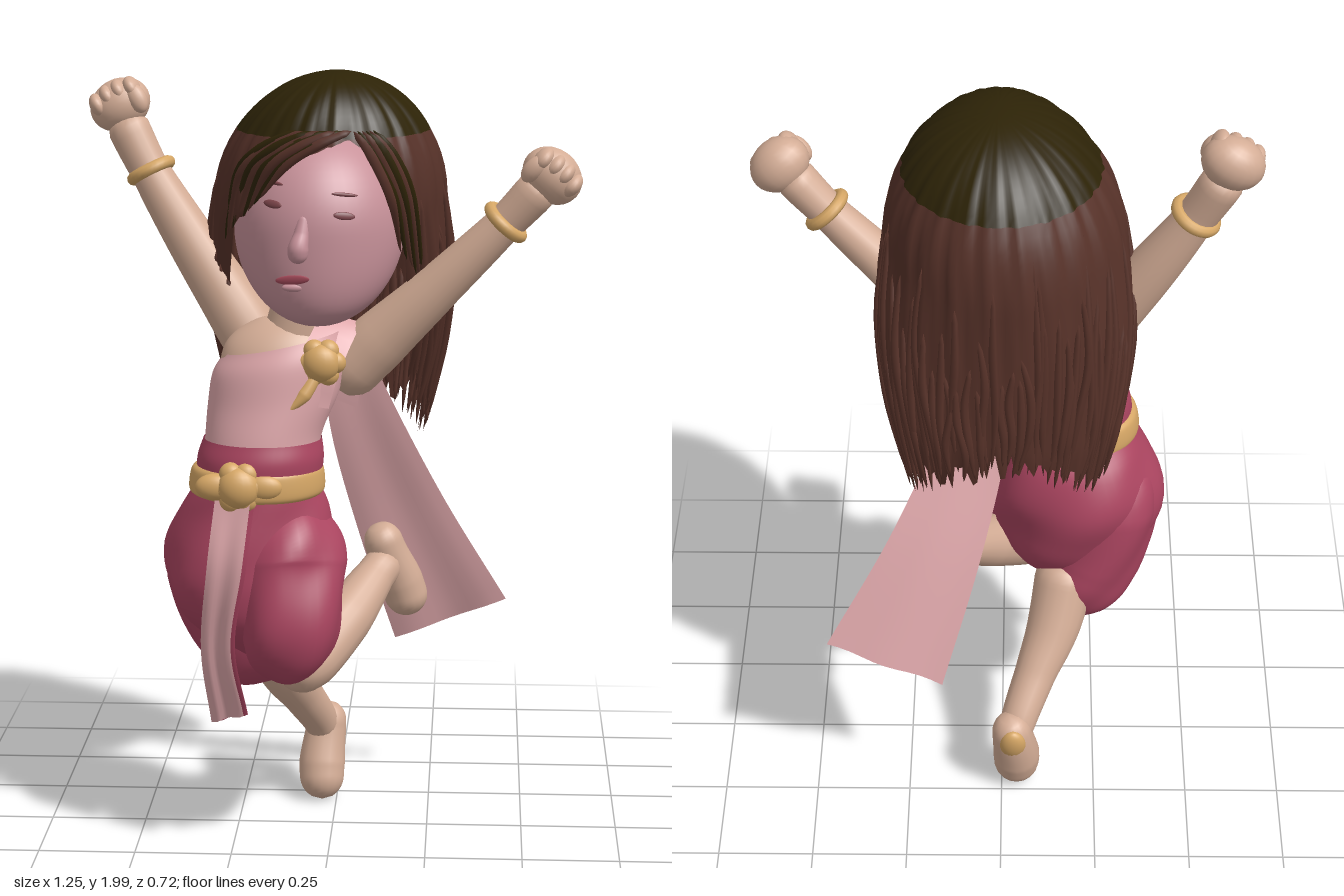
import * as THREE from 'three';
import { mergeVertices } from 'three/addons/utils/BufferGeometryUtils.js';

const V = (p) => new THREE.Vector3(...p);
const { lerp, degToRad, radToDeg } = THREE.MathUtils;
const spline = (pts) => new THREE.CatmullRomCurve3(pts.map(V), false, 'catmullrom', 0.5);
let seed = 7;
const rand = () => (seed = (seed * 16807) % 2147483647) / 2147483647;

const mat = (name, color, side = THREE.FrontSide) => {
  const m = new THREE.MeshStandardMaterial({ color, side });
  m.name = name;
  return m;
};

function weld(g) {
  g.deleteAttribute('uv');
  g.deleteAttribute('normal');
  g = mergeVertices(g, 1e-5);
  g.computeVertexNormals();
  return g;
}

// Grid surface: f(u, v) gives a point, v runs downward
function grid(nu, nv, f) {
  const g = new THREE.PlaneGeometry(1, 1, nu, nv);
  for (let j = 0, k = 0; j <= nv; j++)
    for (let i = 0; i <= nu; i++, k++) g.attributes.position.setXYZ(k, ...f(i / nu, j / nv));
  return weld(g);
}

// Horizontal oval rings [y, cx, cz, rx, rz] from top to bottom
function loft(rings, tilt = 0, folds = 0) {
  const c = spline(rings.map((r) => [r[1], r[0], r[2]]));
  const s = spline(rings.map((r) => [r[3], r[4], 0]));
  return grid(48, 28, (u, v) => {
    const p = c.getPoint(v), q = s.getPoint(v), a = (u % 1) * Math.PI * 2;
    const k = 1 + folds * Math.sin(a * 5 + v * 9) * Math.sin(v * Math.PI);
    const x = q.x * Math.sin(a) * k;
    return [p.x + x, p.y + tilt * x * (1 - v), p.z + q.y * Math.cos(a) * k];
  });
}

// Round-ended limb through points [x, y, z, radius]
function limb(pts, sides = 18, steps = 36, folds = 0) {
  const c = spline(pts.map((p) => p.slice(0, 3)));
  const g = new THREE.TubeGeometry(c, steps, 1, sides);
  const pos = g.attributes.position, nor = g.attributes.normal, len = c.getLength();
  for (let i = 0, k = 0; i <= steps; i++) {
    const u = i / steps, P = c.getPointAt(u), t = c.getUtoTmapping(u) * (pts.length - 1);
    const a = Math.min(Math.floor(t), pts.length - 2);
    let r = lerp(pts[a][3], pts[a + 1][3], t - a);
    const d = (Math.min(u, 1 - u) * len) / r;
    if (d < 1) r *= Math.sqrt(Math.max(0, 1 - (1 - d) ** 2));
    for (let j = 0; j <= sides; j++, k++) {
      const q = r * (1 + folds * Math.sin(((j % sides) / sides) * Math.PI * 10 + u * 8));
      pos.setXYZ(k, P.x + q * nor.getX(k), P.y + q * nor.getY(k), P.z + q * nor.getZ(k));
    }
  }
  return weld(g);
}

// Cloth strip between two edge curves
function ribbon(left, right, wave = 0) {
  const a = spline(left), b = spline(right);
  return grid(10, 24, (u, v) => {
    const p = a.getPoint(v).lerp(b.getPoint(v), u);
    return [p.x, p.y, p.z + wave * Math.sin(u * 9) * v];
  });
}

// Hair hem height by angle in degrees, 0 at the front, positive to the left side
const HEM = [[-180, 1.2], [-120, 1.08], [-75, 1.15], [-60, 1.22], [-50, 1.6], [-35, 1.74], [-10, 1.81],
  [12, 1.85], [28, 1.8], [38, 1.62], [46, 1.26], [60, 1.16], [110, 1.06], [180, 1.2]];
function hem(deg) {
  const i = Math.max(1, HEM.findIndex((h) => deg <= h[0]));
  const [a, b] = [HEM[i - 1], HEM[i]];
  return lerp(a[1], b[1], (deg - a[0]) / (b[0] - a[0]));
}
function hairPoint(a, y, out = 0) {
  let rx = 0.295, rz = 0.305, cx = -0.01, cz = -0.035;
  if (y > 1.66) {
    const h = Math.min(1, (y - 1.66) / 0.335);
    rx *= Math.sqrt(1 - h * h);
    rz *= (1 - h ** 2.5) ** 0.4;
    cx += 0.02 * h;
    cz += 0.035 * h;
  } else {
    const t = Math.min(1, (1.66 - y) / 0.46), low = Math.max(0, 1.2 - y) / 0.2;
    rx = (rx + 0.025 * Math.sin(t * Math.PI) - 0.02 * t) * (1 - 0.12 * low);
    rz = lerp(0.305, 0.175, t) * (1 - 0.25 * low);
    cz = lerp(-0.035, -0.17, t) - 0.01 * low;
  }
  const k = 1 + out + 0.01 * Math.sin(a * 23 + 2 * Math.sin(y * 5)) + 0.008 * Math.sin(a * 41 + y * 6);
  return [cx + rx * k * Math.sin(a), y, cz + rz * k * Math.cos(a)];
}

export function createModel() {
  const model = new THREE.Group();
  const skin = mat('skin', 0xd4ad96), faceSkin = mat('face skin', 0xc8929a);
  const pink = mat('light pink cloth', 0xdfa8ab, THREE.DoubleSide);
  const rose = mat('rose cloth', 0xab4560, THREE.DoubleSide);
  const gold = mat('gold', 0xd6a766), brown = mat('brown hair', 0x573229, THREE.DoubleSide);
  const dark = mat('dark crown hair', 0x2d2307, THREE.DoubleSide);
  const lip = mat('lip red', 0xa84c5c), eyeMat = mat('eye brown', 0x7c454a);

  const add = (name, geo, m, parent = model) => {
    const mesh = new THREE.Mesh(geo, m);
    mesh.name = name;
    parent.add(mesh);
    return mesh;
  };
  const ball = (name, p, s, m, parent) => {
    const b = add(name, new THREE.SphereGeometry(1, 20, 14), m, parent);
    b.position.set(...p);
    b.scale.set(...s);
    return b;
  };

  // Head with a forward chin
  const faceZ = (x, y) => {
    const u = (x + 0.03) / 0.215, v = (y - 1.615) / 0.24;
    return 0.06 + 0.225 * Math.sqrt(Math.max(0, 1 - u * u - v * v)) + (v < 0 ? 0.1 * v * v : 0);
  };
  add('head', grid(48, 32, (u, v) => {
    const a = (u % 1) * Math.PI * 2, h = Math.cos(v * Math.PI), r = Math.sin(v * Math.PI);
    return [-0.03 + 0.215 * r * Math.sin(a), 1.615 + 0.24 * h,
      0.06 + 0.225 * r * Math.cos(a) + (h < 0 ? 0.1 * h * h : 0)];
  }), faceSkin);
  add('nose', limb([[-0.055, 1.67, 0.26, 0.016], [-0.062, 1.62, 0.275, 0.02], [-0.07, 1.585, 0.285, 0.026], [-0.07, 1.55, 0.275, 0.024]]), faceSkin);
  // Painted features laid on the face surface
  const plate = (name, x, y, w, h, m, roll) => {
    const p = ball(name, [x, y, faceZ(x, y)], [w, h, 0.0045], m);
    const e = 0.01;
    p.rotation.set(Math.atan((faceZ(x, y + e) - faceZ(x, y - e)) / (2 * e)),
      -Math.atan((faceZ(x + e, y) - faceZ(x - e, y)) / (2 * e)), roll, 'YXZ');
  };
  for (const [side, x, y] of [['right', -0.135, 1.69], ['left', 0.042, 1.665]]) {
    plate(side + 'Eye', x, y, 0.028, 0.01, eyeMat, -0.12);
    plate(side + 'Brow', x, y + 0.05, 0.034, 0.005, eyeMat, -0.12);
  }
  plate('mouth', -0.085, 1.507, 0.045, 0.012, lip, 0.1);
  ball('lowerLip', [-0.08, 1.487, faceZ(-0.08, 1.487) - 0.005], [0.032, 0.011, 0.011], faceSkin);

  // Hair: dark crown and long brown lengths with a ragged hem
  const top = 1.85, full = Math.PI * 2;
  add('hairCrown', grid(144, 14, (u, v) => {
    return hairPoint((u % 1) * full - Math.PI, 1.66 + 0.335 * Math.cos(v * Math.acos(0.19 / 0.335)));
  }), dark);
  const ragged = Array.from({ length: 144 }, () => (rand() - 0.5) * 0.1);
  add('hairLengths', grid(144, 24, (u, v) => {
    const a = (u % 1) * full - Math.PI, h = hem(radToDeg(a));
    const end = Math.min(top, h + ragged[Math.round(u * 144) % 144] * Math.min(1, (top - h) * 3));
    return hairPoint(a, lerp(top, end, v));
  }), brown);
  for (let i = 0; i < 70; i++) {
    const deg = 48 + (i / 69) * 256, d = deg > 180 ? deg - 360 : deg;
    const a = degToRad(d), start = 1.8 - rand() * 0.4, end = hem(d) - rand() * 0.05;
    const pts = [0, 0.33, 0.66, 1].map((t, k) =>
      [...hairPoint(a + (rand() - 0.5) * 0.09, lerp(start, end, t)), [0.006, 0.012, 0.011, 0.003][k]]);
    add('hairLock', limb(pts, 6, 14), brown);
  }
  // Fringe swept over the forehead to both sides of the parting
  const sweep = (path, m) => add('fringeLock', limb(path.map(([d, y], k) =>
    [...hairPoint(degToRad(d), y, 0.01), [0.008, 0.014, 0.013, 0.003][k]]), 6, 18), m);
  for (let i = 0; i < 8; i++) {
    const s = i / 7;
    sweep([[14 - s * 34, 1.87], [-4 - s * 36, 1.84 - s * 0.02], [-20 - s * 32, 1.79 - s * 0.04], [-33 - s * 24, 1.7 - s * 0.12]], i % 2 ? dark : brown);
    if (i < 6) sweep([[15 + s * 18, 1.87], [24 + s * 18, 1.81], [33 + s * 18, 1.7], [38 + s * 18, 1.56 - s * 0.15]], i % 2 ? dark : brown);
  }

  // Neck, shoulders and one-shouldered top
  add('neck', limb([[-0.12, 1.22, 0.08, 0.09], [-0.08, 1.36, 0.08, 0.085], [-0.05, 1.5, 0.08, 0.08]]), skin);
  add('shoulders', loft([[1.385, -0.1, 0.08, 0.002, 0.002], [1.375, -0.11, 0.08, 0.08, 0.06],
    [1.32, -0.12, 0.085, 0.145, 0.105], [1.22, -0.135, 0.1, 0.155, 0.125]]), skin);
  add('top', loft([[1.325, -0.12, 0.09, 0.15, 0.13], [1.27, -0.13, 0.097, 0.17, 0.147], [1.18, -0.145, 0.11, 0.167, 0.147],
    [1.08, -0.17, 0.135, 0.148, 0.14], [0.96, -0.18, 0.145, 0.15, 0.14]], 0.22), pink);
  add('shoulderStrap', ribbon(
    [[-0.13, 1.2, 0.25], [-0.06, 1.33, 0.21], [-0.02, 1.395, 0.08], [-0.02, 1.33, -0.03], [-0.02, 1.15, -0.06]],
    [[0.0, 1.17, 0.2], [0.03, 1.27, 0.185], [0.08, 1.365, 0.08], [0.09, 1.29, -0.03], [0.06, 1.12, -0.06]]), pink);
  const rosette = (name, p, r) => {
    const g = new THREE.Group();
    g.name = name;
    model.add(g);
    ball('centre', p, [r * 0.8, r * 0.8, r * 0.6], gold, g);
    for (let i = 0; i < 6; i++) {
      const a = (i * Math.PI) / 3;
      ball('petal', [p[0] + Math.cos(a) * r * 0.58, p[1] + Math.sin(a) * r * 0.58, p[2] - 0.008], [r * 0.46, r * 0.46, r * 0.4], gold, g);
    }
  };
  rosette('brooch', [-0.018, 1.29, 0.218], 0.06);
  add('broochTail', limb([[-0.03, 1.26, 0.212, 0.016], [-0.06, 1.21, 0.232, 0.018], [-0.1, 1.17, 0.245, 0.005]]), gold);

  // Waistband, belt and buckle
  add('waistband', loft([[1.085, -0.17, 0.14, 0.15, 0.14], [1.04, -0.175, 0.145, 0.16, 0.148], [0.99, -0.18, 0.145, 0.16, 0.147]]), rose);
  add('belt', loft([[1.022, -0.18, 0.145, 0.15, 0.14], [1.005, -0.183, 0.145, 0.168, 0.153],
    [0.955, -0.185, 0.145, 0.172, 0.155], [0.935, -0.185, 0.145, 0.15, 0.14]]), gold);
  rosette('buckle', [-0.22, 0.985, 0.29], 0.066);
  for (const s of [-1, 1]) ball('buckleWing', [-0.22 + s * 0.06, 0.985, 0.282], [0.05, 0.034, 0.025], gold);

  // Draped breeches
  add('hips', loft([[0.97, -0.185, 0.145, 0.155, 0.145], [0.9, -0.19, 0.125, 0.19, 0.172], [0.8, -0.2, 0.12, 0.22, 0.195],
    [0.7, -0.2, 0.13, 0.217, 0.19], [0.6, -0.18, 0.13, 0.175, 0.16], [0.5, -0.15, 0.12, 0.06, 0.06]], 0, 0.035), rose);
  add('leftBreechesLeg', limb([[-0.12, 0.93, 0.14, 0.14], [-0.11, 0.76, 0.18, 0.155], [-0.1, 0.61, 0.235, 0.132], [-0.13, 0.47, 0.2, 0.09]], 40, 40, 0.04), rose);
  add('rightBreechesLeg', limb([[-0.25, 0.92, 0.13, 0.14], [-0.26, 0.74, 0.1, 0.16], [-0.23, 0.57, 0.07, 0.135], [-0.16, 0.42, 0.02, 0.1]], 40, 40, 0.04), rose);

  // Hanging sash with a rose lining, and the flying cape
  const sashLeft = [[-0.28, 0.96, 0.27], [-0.3, 0.78, 0.315], [-0.32, 0.56, 0.275], [-0.3, 0.35, 0.22]];
  const sashRight = [[-0.19, 0.95, 0.305], [-0.21, 0.78, 0.345], [-0.24, 0.58, 0.325], [-0.21, 0.395, 0.3]];
  const behind = (pts) => pts.map(([x, y, z]) => [x + 0.01, y, z - 0.012]);
  add('frontSash', ribbon(sashLeft, sashRight, 0.01), pink);
  add('sashLining', ribbon(behind(sashLeft), behind(sashRight), 0.01), rose);
  add('cape', ribbon(
    [[-0.03, 1.28, -0.06], [-0.01, 1.05, -0.1], [0.06, 0.75, -0.2], [0.155, 0.43, -0.3]],
    [[0.09, 1.28, -0.06], [0.15, 1.13, -0.1], [0.29, 0.84, -0.2], [0.455, 0.55, -0.28]], 0.006), pink);

  // Arms, bracelets and fists
  const arm = (side, pts, at, hand) => {
    const g = new THREE.Group();
    g.name = side + 'Arm';
    model.add(g);
    add('arm', limb(pts), skin, g);
    const n = pts.length, dir = V(pts[n - 1]).sub(V(pts[n - 2])).normalize();
    const ring = add('bracelet', new THREE.TorusGeometry(0.051, 0.016, 10, 32), gold, g);
    ring.position.set(...at);
    ring.quaternion.setFromUnitVectors(V([0, 0, 1]), dir);
    const fist = new THREE.Group();
    fist.name = side + 'Fist';
    fist.position.set(...hand);
    fist.quaternion.setFromUnitVectors(V([0, 1, 0]), dir);
    g.add(fist);
    ball('palm', [0, 0, 0], [0.08, 0.066, 0.062], skin, fist);
    for (let i = 0; i < 4; i++) ball('finger', [-0.048 + i * 0.032, 0.03 - Math.abs(i - 1.5) * 0.007, 0.022], [0.022, 0.033, 0.04], skin, fist);
    ball('thumb', [side === 'left' ? -0.05 : 0.05, -0.01, 0.04], [0.025, 0.04, 0.022], skin, fist);
  };
  arm('right', [[-0.13, 1.19, 0.02, 0.08], [-0.24, 1.37, 0, 0.077], [-0.37, 1.57, -0.03, 0.063], [-0.47, 1.735, -0.05, 0.05], [-0.545, 1.88, -0.075, 0.056]],
    [-0.467, 1.735, -0.05], [-0.547, 1.9, -0.077]);
  arm('left', [[0.0, 1.2, 0.05, 0.08], [0.12, 1.32, 0.07, 0.077], [0.27, 1.465, 0.1, 0.06], [0.435, 1.63, 0.125, 0.047], [0.54, 1.745, 0.145, 0.055]],
    [0.437, 1.633, 0.125], [0.55, 1.752, 0.145]);

  // Bare legs and feet with heel patches
  add('leftLeg', limb([[-0.12, 0.5, 0.27, 0.07], [-0.05, 0.52, 0.205, 0.078], [0.04, 0.6, 0.09, 0.07], [0.11, 0.68, -0.02, 0.052], [0.15, 0.72, -0.08, 0.05]]), skin);
  add('leftFoot', limb([[0.115, 0.81, -0.06, 0.048], [0.14, 0.73, -0.075, 0.053], [0.175, 0.65, -0.095, 0.058], [0.205, 0.555, -0.11, 0.056]]), skin);
  add('rightLeg', limb([[-0.18, 0.6, 0.04, 0.085], [-0.14, 0.43, -0.05, 0.072], [-0.09, 0.32, -0.13, 0.056], [-0.045, 0.22, -0.21, 0.048], [-0.04, 0.16, -0.23, 0.04]]), skin);
  add('rightFoot', limb([[-0.02, 0.265, -0.24, 0.046], [-0.03, 0.19, -0.235, 0.055], [-0.04, 0.1, -0.21, 0.063], [-0.038, 0.005, -0.178, 0.057]]), skin);
  ball('leftHeelPatch', [0.128, 0.765, -0.1], [0.032, 0.04, 0.022], gold).rotation.set(0.2, 0, 0.3);
  ball('rightHeelPatch', [-0.03, 0.19, -0.27], [0.036, 0.055, 0.025], gold).rotation.x = -0.25;

  return model;
}
